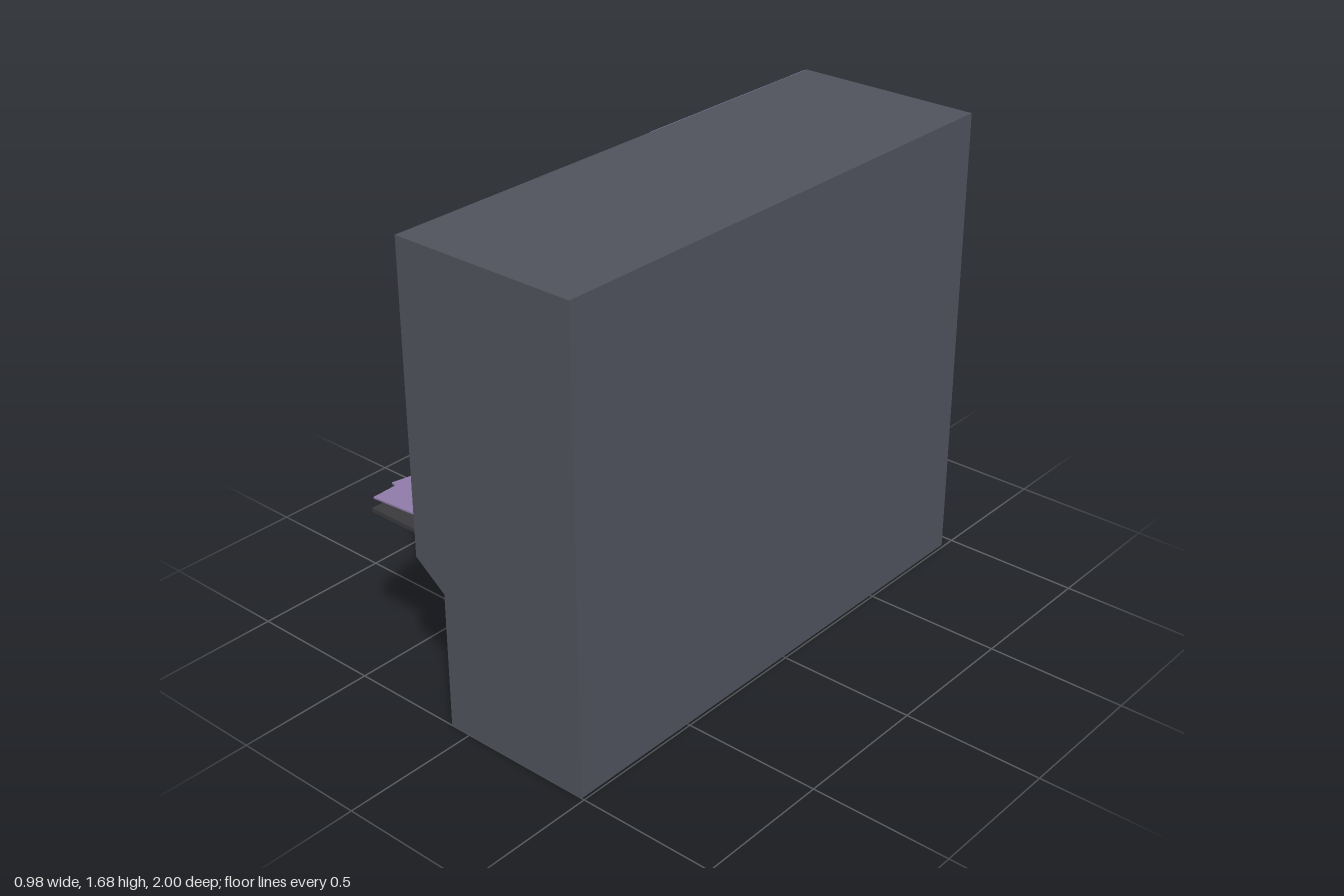
import * as THREE from 'three';

const mat = (color) => new THREE.MeshStandardMaterial({ color, flatShading: true, side: THREE.DoubleSide });

export function createModel() {
  const model = new THREE.Group();
  const grey = mat(0x50535d), dark = mat(0x3b3b3e), black = mat(0x2a2a2d);
  const purple = mat(0x8f7ca9), yellow = mat(0xe3dc55);

  const add = (name, geometry, material) => {
    const mesh = new THREE.Mesh(geometry, material);
    mesh.name = name;
    model.add(mesh);
    return mesh;
  };
  const shapeOf = (pts) => new THREE.Shape(pts.map(([a, b]) => new THREE.Vector2(a, b)));
  const extrude = (shape, depth) => new THREE.ExtrudeGeometry(shape, { depth, bevelEnabled: false });

  // Box given by its limits on each axis
  const box = (name, [x0, x1], [y0, y1], [z0, z1], material) =>
    add(name, new THREE.BoxGeometry(x1 - x0, y1 - y0, z1 - z0)
      .translate((x0 + x1) / 2, (y0 + y1) / 2, (z0 + z1) / 2), material);

  // Side profile (x, y) swept along z
  const sweep = (name, pts, z0, z1, material) =>
    add(name, extrude(shapeOf(pts), z1 - z0).translate(0, 0, z0), material);

  // Flat slab with an (x, z) outline
  const slab = (name, pts, y0, y1, material) =>
    add(name, extrude(shapeOf(pts.map(([x, z]) => [x, -z])), y1 - y0)
      .rotateX(-Math.PI / 2).translate(0, y0, 0), material);

  // Frame with a (z, y) outline and hole, standing out from the working face
  const frame = (name, outer, inner, depth, material) => {
    const s = shapeOf(outer);
    s.holes.push(shapeOf(inner));
    add(name, extrude(s, depth).rotateY(-Math.PI / 2).translate(-0.2, 0, 0), material);
  };
  const rect = (z0, z1, y0, y1, i = 0) =>
    [[z0 + i, y0 + i], [z1 - i, y0 + i], [z1 - i, y1 - i], [z0 + i, y1 - i]];
  const cutRect = (z0, z1, y0, y1, c) =>
    [[z0, y0], [z1 - c, y0], [z1, y0 + c], [z1, y1 - c], [z1 - c, y1], [z0, y1]];

  // Cabinet with recessed lower part
  sweep('cabinet', [[0.49, 0], [0.49, 1.68], [-0.2, 1.68], [-0.2, 0.59], [-0.08, 0.5], [-0.08, 0]],
    -0.95, 1, grey);
  box('workingFace', [-0.203, -0.19], [0.6, 1.675], [-0.945, 0.995], dark);
  box('lowerFace', [-0.083, -0.07], [0.005, 0.49], [-0.945, 0.995], dark);

  // Upper panels
  box('cornerPanel', [-0.206, -0.19], [1.385, 1.678], [-0.948, -0.12], purple);
  frame('screenFrame', cutRect(-0.89, -0.35, 1.25, 1.62, 0.085),
    cutRect(-0.845, -0.395, 1.295, 1.575, 0.07), 0.045, black);
  box('screen', [-0.209, -0.19], [1.29, 1.58], [-0.85, -0.4], dark);
  frame('displayFrame', rect(-0.89, -0.07, 0.83, 1.15), rect(-0.89, -0.07, 0.83, 1.15, 0.045), 0.045, black);
  box('display', [-0.209, -0.19], [0.87, 1.11], [-0.85, -0.11], purple);
  box('yellowStrip', [-0.225, -0.19], [0.7, 1.63], [0.03, 0.185], yellow);

  // Handle on its backing plate
  box('handlePlate', [-0.212, -0.19], [0.9, 1.575], [0.405, 0.68], purple);
  sweep('handle', [[-0.2, 1.54], [-0.4, 1.54], [-0.4, 0.93], [-0.2, 0.93], [-0.2, 1.02],
    [-0.32, 1.02], [-0.32, 1.445], [-0.2, 1.445]], 0.415, 0.495, purple);

  // Tall panel with raised rim
  frame('tallPanelRim', rect(0.75, 0.965, 0.7, 1.63), rect(0.75, 0.965, 0.7, 1.63, 0.025), 0.022, purple);
  box('tallPanel', [-0.208, -0.19], [0.72, 1.61], [0.77, 0.95], purple);

  // Shelves and the loose sheets lying on them
  box('longShelf', [-0.43, -0.2], [0.65, 0.664], [-0.42, 0.29], dark);
  slab('tiltedShelf', [[-0.47, -0.925], [-0.2, -0.94], [-0.2, -0.415], [-0.45, -0.4]], 0.652, 0.668, dark);
  slab('rearSheet', [[-0.42, -0.985], [-0.235, -1], [-0.235, -0.49], [-0.41, -0.475]], 0.68, 0.686, purple);
  box('shortShelf', [-0.43, -0.2], [0.65, 0.664], [0.45, 0.97], dark);
  slab('lowerSheet', [[-0.39, 0.4], [-0.2, 0.445], [-0.3, 0.875], [-0.49, 0.83]], 0.668, 0.675, purple);
  slab('upperSheet', [[-0.46, 0.505], [-0.22, 0.495], [-0.27, 0.71], [-0.265, 0.93], [-0.45, 0.945]],
    0.68, 0.686, purple);
  for (const [z0, z1] of [[-0.6, 0.25], [0.5, 0.93]])
    sweep('shelfStrut', [[-0.3, 0.65], [-0.2, 0.598], [-0.2, 0.603], [-0.29, 0.65]], z0, z1, dark);

  // Posts that bend outward at the top, with yellow inlays on their sides
  const post = [[-0.08, 0], [-0.08, 0.5], [-0.2, 0.59], [-0.2, 0.485], [-0.145, 0.44], [-0.145, 0]];
  for (const [z0, z1] of [[0.11, 0.19], [0.24, 0.297], [0.785, 0.83]])
    sweep('post', post, z0, z1, black);
  for (const z of [0.237, 0.827])
    box('postInlay', [-0.14, -0.1], [0.01, 0.43], [z, z + 0.006], yellow);

  // Lower panels
  box('lowerRearPanel', [-0.087, -0.07], [0.002, 0.49], [-0.845, -0.4], purple);
  box('smallPanel', [-0.087, -0.07], [0.225, 0.4], [-0.345, -0.2], purple);
  box('door', [-0.087, -0.07], [0.03, 0.49], [0.297, 0.785], purple);
  for (const z of [0.56, 0.61]) {
    box('latch', [-0.097, -0.08], [0.2, 0.25], [z, z + 0.02], black);
    box('latchHook', [-0.097, -0.08], [0.2, 0.215], [z - 0.02, z], black);
  }
  sweep('slopeLabel', [[-0.185, 0.579], [-0.19, 0.589], [-0.13, 0.544], [-0.125, 0.534]], 0.6, 0.73, yellow);

  return model;
}
